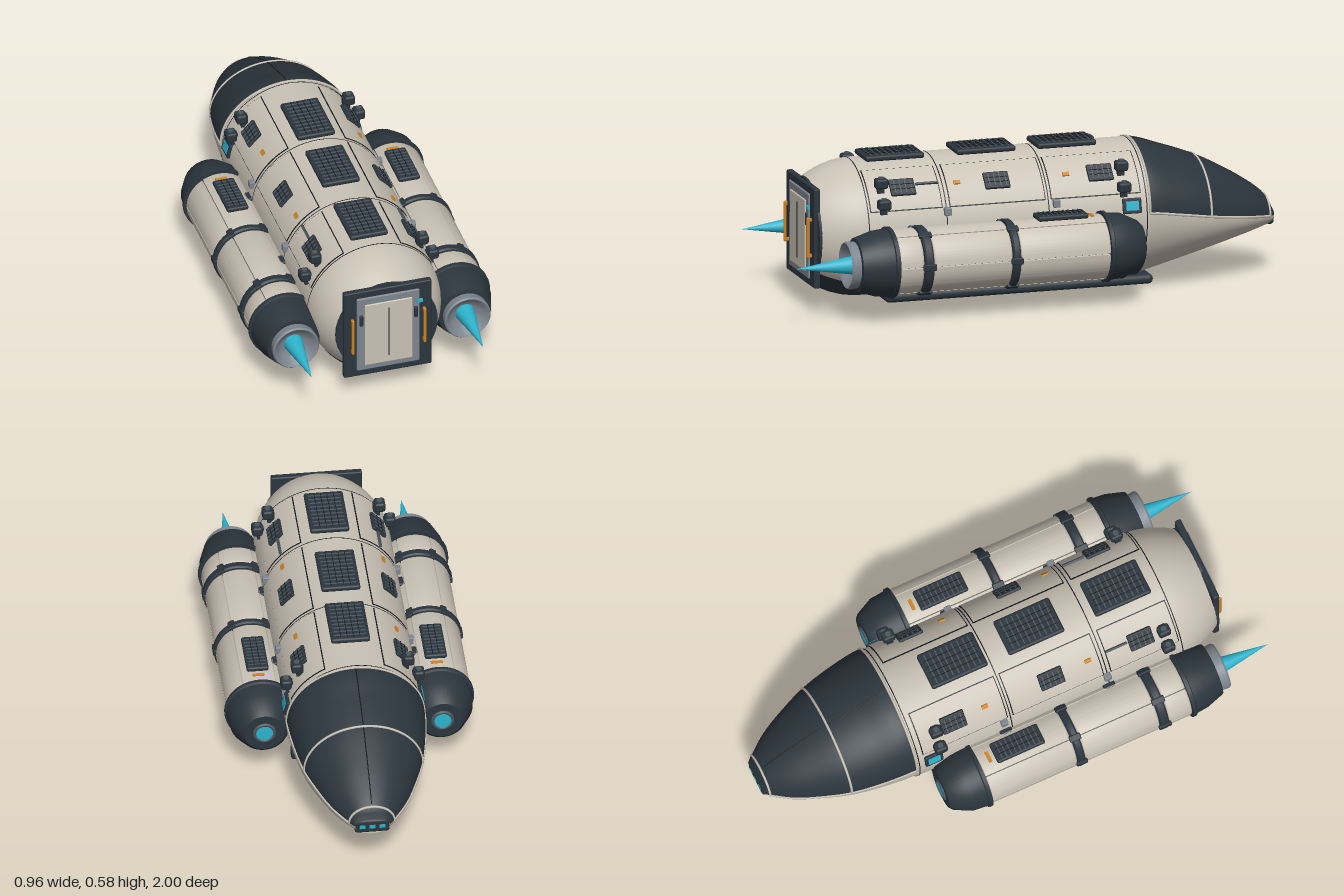
import * as THREE from 'three';
import { toCreasedNormals } from 'three/addons/utils/BufferGeometryUtils.js';
import { RoundedBoxGeometry } from 'three/addons/geometries/RoundedBoxGeometry.js';
import { ParametricGeometry } from 'three/addons/geometries/ParametricGeometry.js';

const mat = (name, color) => new THREE.MeshStandardMaterial({ name, color, side: THREE.DoubleSide });
const rad = THREE.MathUtils.degToRad;
const CY = 0.295; // hull axis height
const POD_X = 0.342, POD_Y = 0.225;

export function createModel() {
  const root = new THREE.Group();
  root.name = 'spacecraft';
  const cream = mat('cream hull', 0xcac2b5), dark = mat('dark slate', 0x2b353d), black = mat('black seam', 0x15191c);
  const grey = mat('steel grey', 0x7d858e), slat = mat('slat grey', 0x4b565f);
  const cyan = mat('cyan glow', 0x2db3cc), orange = mat('orange', 0xcf8526);

  const add = (parent, name, geo, material, x = 0, y = 0, z = 0) => {
    const m = new THREE.Mesh(geo, material);
    m.name = name;
    m.position.set(x, y, z);
    parent.add(m);
    return m;
  };
  const box = (w, h, d, r = 0) => r ? new RoundedBoxGeometry(w, h, d, 3, r) : new THREE.BoxGeometry(w, h, d);
  // Lathe about z; points are [radius, z] with z increasing
  const turned = (pts, seg = 40) => toCreasedNormals(
    new THREE.LatheGeometry(pts.map(p => new THREE.Vector2(...p)), seg).rotateX(Math.PI / 2), 0.6);
  // Surface patch over an angle range (degrees) and a z range
  const patch = (fn, a0, a1, z0, z1, nu = 32, nv = 12) => new ParametricGeometry((u, v, t) =>
    t.copy(fn(z0 + (z1 - z0) * v, rad(a0 + (a1 - a0) * u))), nu, nv);
  const tube = (pts, r) => new THREE.TubeGeometry(new THREE.CatmullRomCurve3(pts), 40, r, 6);
  const range = (n, f) => Array.from({ length: n + 1 }, (_, i) => f(i / n));

  // Hull surface: cylinder that rounds in toward the docking end
  const hullAt = off => (z, a) => {
    const t = Math.max(0, (z - 0.66) / 0.2), r = 0.263 - 0.066 * t * t + off;
    return new THREE.Vector3(r * Math.cos(a), CY + r * Math.sin(a), z);
  };
  // Nose surface: stations of [half width, top, bottom, waterline]
  const Z = [-1, -0.98, -0.9, -0.8, -0.7, -0.57, -0.44];
  const S = [[0.066, 0.255, 0.19, 0.228], [0.085, 0.298, 0.193, 0.23], [0.143, 0.362, 0.21, 0.245], [0.19, 0.423, 0.228, 0.262],
    [0.227, 0.474, 0.11, 0.28], [0.253, 0.522, 0.07, 0.303], [0.264, 0.558, 0.032, 0.32]];
  const noseAt = off => (z, a) => {
    let i = 0;
    while (i < 5 && z > Z[i + 1]) i++;
    const t = THREE.MathUtils.clamp((z - Z[i]) / (Z[i + 1] - Z[i]), 0, 1);
    const val = k => {
      const d = j => j <= 0 || j >= 6 ? 0 : (S[j + 1][k] - S[j - 1][k]) / (Z[j + 1] - Z[j - 1]);
      const h = Z[i + 1] - Z[i], t2 = t * t, t3 = t2 * t;
      const m0 = i === 0 ? (S[1][k] - S[0][k]) / h : d(i), m1 = d(i + 1);
      return (2 * t3 - 3 * t2 + 1) * S[i][k] + (t3 - 2 * t2 + t) * h * m0 + (3 * t2 - 2 * t3) * S[i + 1][k] + (t3 - t2) * h * m1;
    };
    const w = val(0), c = val(3), bottom = 0.19 - 0.158 * (Z[0] - z) / 0.56 * -1;
    const h = Math.sin(a) > 0 ? val(1) - c : c - bottom;
    return new THREE.Vector3((w + off) * Math.cos(a), c + (h + off) * Math.sin(a), z);
  };

  // Hull, belly shield and seams
  add(root, 'hull', patch(hullAt(0), -90, 270, -0.44, 0.86, 64, 40), cream);
  add(root, 'bellyShield', patch(hullAt(0.004), -137, -43, -0.44, 0.858, 32, 30), dark);
  for (const z of [-0.43, -0.04, 0.368, 0.68])
    add(root, 'hullSeam', patch(hullAt(0.0012), -40, 220, z - 0.002, z + 0.002, 48, 1), black);
  add(root, 'keelSkid', box(0.19, 0.038, 1.07, 0.018), dark, 0, 0.019, 0.025);

  // Nose, canopy and canopy frame
  add(root, 'nose', patch(noseAt(0), -180, 0, -1, -0.44, 40, 28), cream);
  add(root, 'canopy', patch(noseAt(0), 0, 180, -0.98, -0.44, 40, 28), dark);
  add(root, 'noseBrow', patch(noseAt(0.001), 0, 180, -1, -0.98, 24, 2), dark);
  for (const z of [-0.7, -0.442, -0.978])
    add(root, 'canopyFrame', tube(range(24, t => noseAt(0)(z, Math.PI * t)), 0.005), cream);
  for (const a of [0, Math.PI])
    add(root, 'canopySill', tube(range(16, t => noseAt(0)(-0.98 + 0.54 * t, a)), 0.005), cream);
  add(root, 'canopySeam', tube(range(16, t => noseAt(0)(-0.97 + 0.52 * t, Math.PI / 2)), 0.002), black);
  add(root, 'noseSensor', box(0.135, 0.06, 0.03, 0.012), dark, 0, 0.222, -0.985);
  for (const x of [-0.038, 0, 0.038]) add(root, 'sensorLight', box(0.022, 0.016, 0.004), cyan, x, 0.222, -0.999);

  // Docking door
  const door = new THREE.Group();
  door.name = 'dockingDoor';
  root.add(door);
  add(door, 'dockingCollar', turned([[0, 0.835], [0.203, 0.835], [0.203, 0.861], [0, 0.861]]), dark, 0, CY);
  add(door, 'doorPlate', box(0.35, 0.39, 0.026, 0.006), dark, 0, CY, 0.862);
  add(door, 'doorFrame', box(0.25, 0.333, 0.012, 0.005), grey, 0, CY, 0.876);
  add(door, 'doorLeaf', box(0.19, 0.28, 0.01, 0.004), cream, 0, 0.292, 0.882);
  add(door, 'doorSlit', box(0.004, 0.22, 0.003), black, 0, 0.294, 0.887);
  add(door, 'doorLight', box(0.022, 0.012, 0.01), cyan, 0.125, 0.41, 0.884);
  for (const s of [1, -1]) {
    add(door, 'grabHandle', new THREE.CapsuleGeometry(0.006, 0.148, 4, 10), orange, s * 0.143, CY, 0.89);
    for (const y of [0.225, 0.365]) add(door, 'handlePost', box(0.01, 0.012, 0.025), orange, s * 0.143, y, 0.88);
    add(door, 'doorHinge', box(0.014, 0.048, 0.012, 0.004), dark, s * 0.109, 0.362, 0.884);
  }

  // Louvred panel lying flat, outward side up
  const grille = (name, w, h, l, rows, cols) => {
    const g = new THREE.Group();
    g.name = name;
    add(g, 'panelBase', box(w, h, l, h * 0.4), dark);
    for (let i = 0; i < rows; i++)
      add(g, 'slat', box(w * 0.82, 0.004, l * 0.2 / rows), slat, 0, h / 2 + 0.001, l * 0.88 * ((i + 0.5) / rows - 0.5));
    for (let i = 1; i < cols; i++) add(g, 'divider', box(0.002, 0.006, l * 0.88), black, w * 0.82 * (i / cols - 0.5), h / 2 + 0.001, 0);
    return g;
  };
  // Places an object on the hull at an elevation angle, mirrored by side
  const onHull = (obj, deg, z, off, s = 1) => {
    const a = s > 0 ? rad(deg) : Math.PI - rad(deg);
    obj.position.copy(hullAt(off)(z, a));
    obj.rotation.z = a - Math.PI / 2;
    root.add(obj);
  };
  const plate = (name, geo, material) => add(new THREE.Group(), name, geo, material);

  for (const z of [-0.17, 0.153, 0.518]) onHull(grille('roofRadiator', 0.15, 0.022, 0.235, 9, 5), 90, z, 0.009);

  for (const s of [1, -1]) {
    const span = (a, b) => s > 0 ? [a, b] : [180 - b, 180 - a];
    // Raised side panels with dark borders
    for (const [z0, z1] of [[-0.41, -0.05], [-0.03, 0.355], [0.382, 0.672]]) {
      add(root, 'panelBorder', patch(hullAt(0.002), ...span(23, 65), z0, z1, 16, 6), black);
      add(root, 'sidePanel', patch(hullAt(0.0045), ...span(23.9, 64.1), z0 + 0.004, z1 - 0.004, 16, 6), cream);
    }
    for (const z of [-0.26, 0.153, 0.53]) onHull(grille('sideVent', 0.072, 0.014, 0.1, 4, 3), 43, z, 0.008, s);
    for (const z of [-0.125, 0.31]) onHull(plate('orangeMarker', box(0.016, 0.008, 0.026), orange), 44, z, 0.006, s);
    onHull(plate('handrail', box(0.008, 0.012, 0.09), slat), 45, 0.43, 0.008, s);
    // Manoeuvring thrusters
    for (const [x, y, z] of [[0.215, 0.505, 0.62], [0.255, 0.43, 0.62], [0.215, 0.505, -0.34], [0.255, 0.43, -0.34], [0.215, 0.085, -0.33]]) {
      add(root, 'thrusterBlock', box(0.042, 0.04, 0.05, 0.01), dark, s * x, y, z);
      add(root, 'thrusterStem', box(0.026, 0.05, 0.026), dark, s * (x - 0.012), y + (y > 0.2 ? -0.015 : 0.015), z);
      add(root, 'thrusterPort', new THREE.CylinderGeometry(0.011, 0.011, 0.01, 14), slat, s * x, y + (y > 0.2 ? 0.02 : -0.02), z);
    }
    // Side windows
    onHull(plate('windowFrame', box(0.06, 0.014, 0.075, 0.005), dark), 13, -0.37, 0.003, s);
    onHull(plate('sideWindow', box(0.036, 0.008, 0.05), cyan), 13, -0.37, 0.008, s);

    // Engine pod
    const pod = new THREE.Group();
    pod.name = s > 0 ? 'leftEnginePod' : 'rightEnginePod';
    pod.position.set(s * POD_X, POD_Y, 0);
    root.add(pod);
    add(pod, 'podCore', turned([[0.116, -0.24], [0.116, 0.64]]), dark);
    add(pod, 'podFrontCap', turned([[0, -0.378], [0.078, -0.378], [0.092, -0.365], [0.124, -0.3], [0.13, -0.24], [0.137, -0.236], [0.137, -0.222], [0.11, -0.222]]), dark);
    add(pod, 'capRing', new THREE.TorusGeometry(0.038, 0.007, 8, 28), slat, 0, 0, -0.378);
    add(pod, 'capLight', turned([[0, -0.384], [0.034, -0.382], [0.034, -0.376]], 28), cyan);
    add(pod, 'podRearSkirt', turned([[0.11, 0.622], [0.138, 0.622], [0.138, 0.637], [0.131, 0.64], [0.126, 0.69], [0.104, 0.762], [0.08, 0.766]]), dark);
    add(pod, 'engineBell', turned([[0.088, 0.75], [0.092, 0.795], [0.087, 0.802], [0.075, 0.795], [0.058, 0.77], [0.036, 0.76], [0, 0.758]]), grey);
    add(pod, 'engineFlame', new THREE.ConeGeometry(0.038, 0.24, 28).rotateX(Math.PI / 2), cyan, 0, 0, 0.88);
    for (const [z, w] of [[0.505, 0.036], [0.155, 0.03]]) {
      const h = w / 2;
      add(pod, 'podBand', turned([[0.11, z - h], [0.129, z - h], [0.134, z - h + 0.006], [0.134, z + h - 0.006], [0.129, z + h], [0.11, z + h]]), dark);
      for (let i = 0; i < 6; i++) {
        const a = i * Math.PI / 3;
        add(pod, 'bandClasp', box(0.014, 0.026, w + 0.016, 0.004), dark, 0.13 * Math.cos(a), 0.13 * Math.sin(a), z).rotation.z = a;
      }
    }
    // Six bulged shell panels in each bay
    for (const [z0, z1] of [[-0.222, 0.138], [0.172, 0.485], [0.525, 0.622]]) {
      const b = 0.008, half = rad(25.5);
      const shape = new THREE.Shape();
      shape.absarc(0, 0, 0.119, -half, half, false);
      shape.absarc(0, 0, 0.106, half, -half, true);
      const geo = toCreasedNormals(new THREE.ExtrudeGeometry(shape, {
        depth: z1 - z0 - 2 * b, bevelThickness: b, bevelSize: b, bevelSegments: 3, curveSegments: 10 }), 0.7);
      for (let i = 0; i < 6; i++) add(pod, 'podPanel', geo, cream, 0, 0, z0 + b).rotation.z = rad(30 + 60 * i);
    }
    const radiator = grille('podRadiator', 0.085, 0.02, 0.2, 9, 3);
    radiator.position.set(0, 0.134, -0.058);
    pod.add(radiator);
    add(pod, 'podMarker', box(0.045, 0.006, 0.014), orange, 0, 0.127, -0.18);

    // Pod brackets
    for (const z of [-0.07, 0.365]) {
      add(root, 'podBracket', box(0.03, 0.03, 0.028, 0.004), grey, s * 0.25, 0.385, z);
      add(root, 'podPylon', box(0.06, 0.13, 0.05, 0.008), dark, s * 0.25, 0.27, z);
    }
  }
  return root;
}
